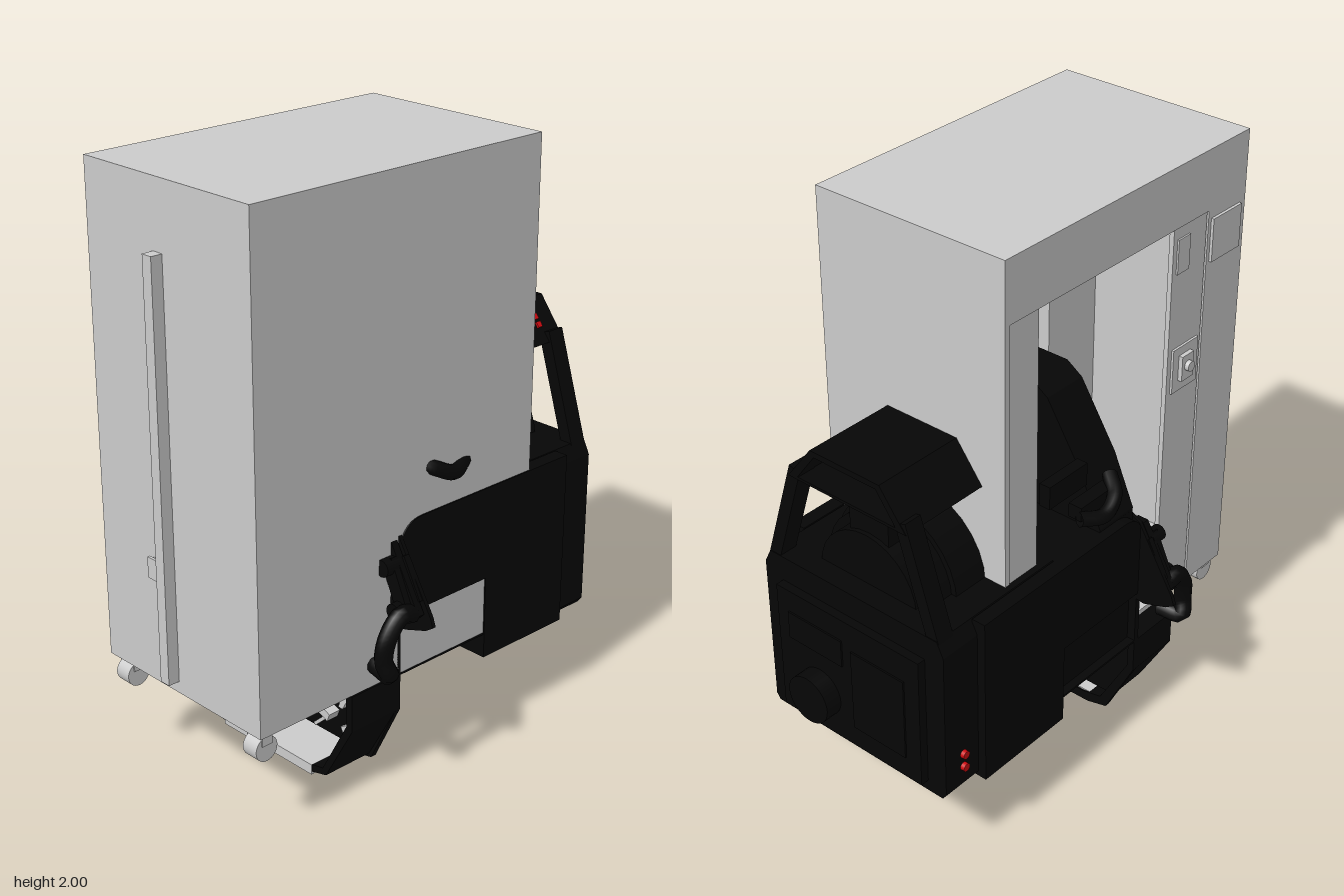
import * as THREE from 'three';

const grey = new THREE.MeshStandardMaterial({ color: 0xcccccc, side: THREE.DoubleSide });
const black = new THREE.MeshStandardMaterial({ color: 0x060606, side: THREE.DoubleSide });
const red = new THREE.MeshStandardMaterial({ color: 0xcc0a10 });

export function createModel() {
  const model = new THREE.Group();
  const cabinet = new THREE.Group();
  const machine = new THREE.Group();
  cabinet.name = 'cabinet';
  machine.name = 'machine';
  model.add(cabinet, machine);

  const add = (parent, name, geo, mat) => {
    const mesh = new THREE.Mesh(geo, mat);
    mesh.name = name;
    parent.add(mesh);
    return mesh;
  };
  // Box given by its low and high corner on each axis
  const box = (parent, name, mat, x0, x1, y0, y1, z0, z1) => {
    const m = add(parent, name, new THREE.BoxGeometry(x1 - x0, y1 - y0, z1 - z0), mat);
    m.position.set((x0 + x1) / 2, (y0 + y1) / 2, (z0 + z1) / 2);
    return m;
  };
  // Bar between two points
  const bar = (name, mat, a, b, w, d) => {
    const p = new THREE.Vector3(...a), q = new THREE.Vector3(...b);
    const m = add(machine, name, new THREE.BoxGeometry(w, p.distanceTo(q), d), mat);
    m.position.copy(p).add(q).multiplyScalar(0.5);
    m.quaternion.setFromUnitVectors(new THREE.Vector3(0, 1, 0), q.sub(p).normalize());
  };
  // Outline in x, y extruded from z0 to z1, with optional hole
  const slab = (name, mat, pts, z0, z1, hole) => {
    const shape = new THREE.Shape(pts.map((p) => new THREE.Vector2(...p)));
    if (hole) shape.holes.push(new THREE.Path(hole.map((p) => new THREE.Vector2(...p))));
    const m = add(machine, name,
      new THREE.ExtrudeGeometry(shape, { depth: z1 - z0, bevelEnabled: false }), mat);
    m.position.z = z0;
  };
  const tube = (name, pts, r) => add(machine, name, new THREE.TubeGeometry(
    new THREE.CatmullRomCurve3(pts.map((p) => new THREE.Vector3(...p))), 24, r, 10), black);
  const disc = (parent, name, mat, r, depth, x, y, z, axis = 'z') => {
    const m = add(parent, name, new THREE.CylinderGeometry(r, r, depth, 28), mat);
    if (axis === 'z') m.rotation.x = Math.PI / 2; else m.rotation.z = Math.PI / 2;
    m.position.set(x, y, z);
  };
  // Both halves of a symmetric outline given from bottom to top at +x
  const mirror = (half) => [...half, ...half.map(([x, y]) => [-x, y]).reverse()];

  // Cabinet shell, open on the -x side between the posts
  box(cabinet, 'roof', grey, -0.33, 0.4, 1.97, 2, -0.39, 0.77);
  box(cabinet, 'cabinetFloor', grey, -0.33, 0.4, 0.37, 0.39, -0.19, 0.77);
  box(cabinet, 'closedSide', grey, 0.38, 0.4, 0.37, 1.97, -0.19, 0.77);
  box(cabinet, 'closedSideRear', grey, 0.38, 0.4, 0.8, 1.97, -0.39, -0.19);
  box(cabinet, 'rearWall', grey, -0.33, 0.4, 0.8, 1.97, -0.39, -0.37);
  box(cabinet, 'frontWall', grey, -0.33, 0.4, 0.37, 1.97, 0.75, 0.77);
  box(cabinet, 'fascia', grey, -0.33, -0.31, 1.79, 1.97, -0.37, 0.75);
  box(cabinet, 'rearPost', grey, -0.327, -0.31, 0.8, 1.79, -0.37, -0.24);
  box(cabinet, 'sidePanel', grey, -0.327, -0.31, 0.37, 1.79, 0.4, 0.57);
  box(cabinet, 'sideFrontPanel', grey, -0.33, -0.31, 0.37, 1.79, 0.575, 0.75);
  box(cabinet, 'innerColumn', grey, 0.24, 0.38, 0.39, 1.97, 0.5, 0.75);
  box(cabinet, 'frontRail', grey, -0.02, 0.02, 0.41, 1.78, 0.77, 0.81);
  box(cabinet, 'latch', grey, -0.08, -0.03, 0.74, 0.81, 0.785, 0.795);
  box(cabinet, 'latchStem', grey, -0.08, -0.07, 0.75, 0.8, 0.77, 0.785);
  box(cabinet, 'sideSign', grey, -0.34, -0.33, 1.61, 1.76, 0.59, 0.74);
  box(cabinet, 'smallSign', grey, -0.333, -0.327, 1.63, 1.75, 0.42, 0.48);
  box(cabinet, 'lockPlate', grey, -0.335, -0.327, 1.2, 1.36, 0.42, 0.55);
  box(cabinet, 'lockBody', grey, -0.35, -0.335, 1.24, 1.33, 0.45, 0.51);
  disc(cabinet, 'lockKnob', grey, 0.018, 0.015, -0.358, 1.29, 0.48, 'x');
  for (const x of [-0.27, 0.35]) {
    disc(cabinet, 'casterWheel', grey, 0.042, 0.06, x, 0.315, 0.73, 'x');
    box(cabinet, 'casterFork', grey, x - 0.035, x + 0.035, 0.33, 0.37, 0.71, 0.75);
  }

  // Rear body: hull, rear cover and port
  slab('rearHull', black, mirror([[0.36, 0.28], [0.375, 0.3], [0.375, 0.84], [0.35, 0.89]]), -0.72, -0.19);
  box(machine, 'rearCover', black, -0.3, 0.3, 0.32, 0.8, -0.75, -0.72);
  box(machine, 'rearHatch', black, -0.24, -0.02, 0.4, 0.7, -0.756, -0.75);
  disc(machine, 'rearPort', black, 0.085, 0.06, 0.125, 0.465, -0.78);
  box(machine, 'rearVent', black, 0.02, 0.25, 0.62, 0.72, -0.756, -0.75);
  box(machine, 'middleHull', black, -0.37, 0.37, 0.364, 0.89, -0.19, 0.19);
  box(machine, 'bellyPlate', black, -0.4, 0.4, 0.362, 0.369, -0.19, 0.2);

  // Engine drum stack
  [[0.25, -0.455, 0.13], [0.23, -0.55, 0.06], [0.2, -0.61, 0.07]]
    .forEach(([r, z, d]) => disc(machine, 'engineDrum', black, r, d, 0, 0.87, z));
  box(machine, 'engineCap', black, -0.08, 0.08, 1.05, 1.17, -0.63, -0.52);

  // Hood with lights on its slope
  slab('rearHood', black, mirror([[0.24, 1.22], [0.14, 1.35]]), -0.72, -0.39,
    mirror([[0.2, 1.23], [0.125, 1.33]]));
  [[0.182, 1.297], [0.2, 1.274]].forEach(([x, y]) => {
    box(machine, 'hoodLight', red, x - 0.01, x + 0.01, y - 0.006, y + 0.006, -0.65, -0.63).rotation.z = -0.915;
  });
  [0.37, 0.42].forEach((y) => disc(machine, 'sideLight', red, 0.014, 0.03, -0.375, y, -0.64, 'x'));

  // Tapered torso inside the cabinet
  slab('torso', black, mirror([[0.36, 0.6], [0.37, 0.9], [0.29, 1.08], [0.15, 1.3], [0.09, 1.34]]), 0.02, 0.19);
  disc(machine, 'torsoDial', black, 0.15, 0.06, 0, 1.02, 0.21);

  for (const s of [-1, 1]) {
    bar('hoodPost', black, [s * 0.335, 0.87, -0.685], [s * 0.215, 1.25, -0.685], 0.045, 0.065);
    bar('shoulderGrip', black, [s * 0.34, 1.14, -0.22], [s * 0.34, 1.14, -0.04], 0.04, 0.08);
    bar('elbowPad', black, [s * 0.355, 1.02, -0.09], [s * 0.355, 1.02, 0.09], 0.05, 0.05);

    // Side arm with rounded front top edge
    const arm = new THREE.Shape();
    arm.moveTo(-0.2, 0.57);
    arm.lineTo(-0.2, 0.8);
    arm.quadraticCurveTo(-0.19, 0.89, -0.1, 0.89);
    arm.lineTo(0.57, 0.89);
    arm.lineTo(0.57, 0.28);
    arm.lineTo(0.19, 0.28);
    arm.lineTo(0.19, 0.57);
    const side = add(machine, 'sideArm',
      new THREE.ExtrudeGeometry(arm, { depth: 0.05, bevelEnabled: false }), black);
    side.rotation.y = Math.PI / 2;
    side.position.x = s > 0 ? 0.355 : -0.405;

    // Slanted shoulder plates, clamp and handlebar
    slab('shoulderPlate', black, [[0.36, 0.55], [0.36, 0.87], [0.4, 0.85], [0.54, 0.62], [0.55, 0.59], [0.52, 0.57], [0.43, 0.54]]
      .map(([x, y]) => [s * x, y]), 0.19, 0.203);
    slab('shoulderPad', black, [[0.36, 0.6], [0.36, 0.84], [0.4, 0.84], [0.52, 0.63], [0.49, 0.6]]
      .map(([x, y]) => [s * x, y]), 0.21, 0.235);
    bar('padSpacer', black, [s * 0.4, 0.78, 0.205], [s * 0.47, 0.65, 0.205], 0.08, 0.02);
    bar('armClamp', black, [s * 0.4, 0.79, 0.245], [s * 0.465, 0.65, 0.245], 0.05, 0.025);
    for (const [x, y] of [[0.41, 0.77], [0.46, 0.64]]) disc(machine, 'clampKnob', black, 0.028, 0.06, s * x, y, 0.255);
    tube('handlebar', [[s * 0.49, 0.63, 0.23], [s * 0.49, 0.64, 0.28], [s * 0.485, 0.58, 0.33],
      [s * 0.48, 0.5, 0.342], [s * 0.49, 0.45, 0.325], [s * 0.41, 0.45, 0.31]], 0.03);
    tube('sideHose', [[s * 0.34, 1.06, 0.1], [s * 0.4, 1.03, 0.05], [s * 0.415, 1.0, -0.02], [s * 0.38, 1.01, -0.1]], 0.025);

    // Grey and red fittings in the front tub
    slab('tubBracket', grey, [[0.17, 0.36], [0.25, 0.36], [0.29, 0.3], [0.24, 0.21], [0.22, 0.21], [0.25, 0.29]]
      .map(([x, y]) => [s * x, y]), 0.27, 0.29);
    bar('tubStrut', grey, [s * 0.2, 0.17, 0.29], [s * 0.1, 0.21, 0.29], 0.03, 0.05);
    box(machine, 'tubRedTab', red, s * 0.18 - 0.025, s * 0.18 + 0.025, 0.21, 0.24, 0.27, 0.33).rotation.z = s * 0.4;
    for (const [x, y] of [[0.32, 0.23], [0.25, 0.13]])
      box(machine, 'tubStud', grey, s * x - 0.018, s * x + 0.018, y - 0.018, y + 0.018, 0.265, 0.285).rotation.z = s * 0.5;
  }

  // Front tub: shell, back flange, raised panel and grey sill
  const outer = mirror([[0.2, 0.01], [0.28, 0.03], [0.4, 0.24], [0.4, 0.365]]);
  const inner = mirror([[0.19, 0.035], [0.265, 0.05], [0.375, 0.25], [0.375, 0.36]]);
  slab('tubShell', black, outer, 0.2, 0.4, inner);
  slab('tubFlange', black, mirror([[0.21, 0], [0.29, 0.02], [0.4, 0.24], [0.4, 0.57]]), 0.19, 0.21, inner);
  slab('tubPanel', black, mirror([[0.28, 0.08], [0.38, 0.25], [0.38, 0.365]]), 0.2, 0.27);
  box(machine, 'tubSill', grey, -0.215, 0.215, 0.004, 0.04, 0.195, 0.403);
  for (const x of [-0.12, 0, 0.12])
    bar('tubSlot', grey, [x - 0.03, 0.085, 0.272], [x + 0.02, 0.13, 0.272], 0.012, 0.006);

  // Red ring with grey hub
  add(machine, 'ring', new THREE.TorusGeometry(0.12, 0.036, 16, 48), red).position.set(0, 0.285, 0.32);
  add(machine, 'ringRim', new THREE.TorusGeometry(0.16, 0.008, 8, 48), grey).position.set(0, 0.285, 0.3);
  add(machine, 'hubRing', new THREE.TorusGeometry(0.05, 0.006, 8, 32), grey).position.set(0, 0.275, 0.32);
  add(machine, 'hub', new THREE.SphereGeometry(0.022, 20, 14), grey).position.set(0, 0.275, 0.423);
  disc(machine, 'hubStem', black, 0.01, 0.15, 0, 0.275, 0.34);
  box(machine, 'ringClip', black, -0.015, 0.015, 0.14, 0.23, 0.27, 0.365);
  return model;
}
